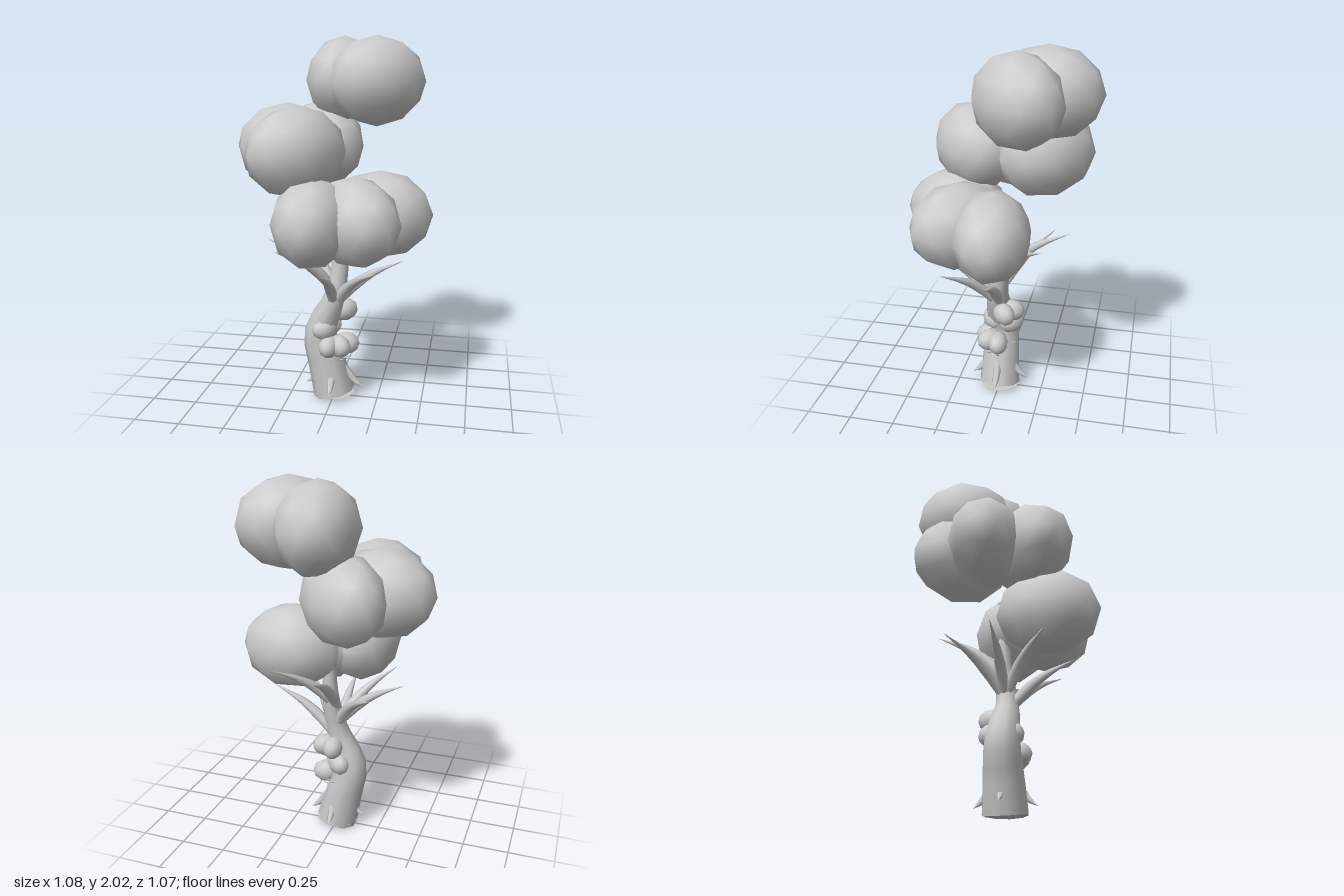
import * as THREE from 'three';

const material = new THREE.MeshStandardMaterial({ color: 0xcccccc, side: THREE.DoubleSide });
const V = (x, y, z) => new THREE.Vector3(x, y, z);

function add(parent, geometry, name) {
  const mesh = new THREE.Mesh(geometry, material);
  mesh.name = name;
  parent.add(mesh);
  return mesh;
}

// Tube along a smooth path whose radius is interpolated from a short list
function taperedTube(points, radii, steps, sides) {
  const curve = new THREE.CatmullRomCurve3(points);
  const geometry = new THREE.TubeGeometry(curve, steps, 1, sides);
  const pos = geometry.attributes.position;
  const v = V(0, 0, 0);
  for (let i = 0; i <= steps; i++) {
    const center = curve.getPointAt(i / steps);
    const t = (i / steps) * (radii.length - 1);
    const k = Math.min(Math.floor(t), radii.length - 2);
    const radius = THREE.MathUtils.lerp(radii[k], radii[k + 1], t - k);
    for (let j = 0; j <= sides; j++) {
      const n = i * (sides + 1) + j;
      v.fromBufferAttribute(pos, n).sub(center).multiplyScalar(radius).add(center);
      pos.setXYZ(n, v.x, v.y, v.z);
    }
  }
  return geometry;
}

// Foliage blobs climb in a spiral: x, height, z, heading in degrees from +x to +z
const blobs = [
  [0.25, 1.06, -0.01, -8], [0.145, 1.06, 0.19, 45], [-0.07, 1.06, 0.25, 90],
  [-0.17, 1.41, 0.17, 135], [-0.26, 1.41, -0.04, 180], [-0.11, 1.41, -0.23, 228],
  [0.01, 1.76, -0.25, 268], [0.21, 1.76, -0.13, 318],
];

function buildTree() {
  const tree = new THREE.Group();

  // Bent trunk with a closed underside
  add(tree, taperedTube(
    [V(0, 0.01, 0), V(-0.04, 0.18, 0), V(-0.08, 0.36, 0), V(0.0, 0.57, 0.01), V(0.035, 0.8, -0.015), V(0.04, 1.2, -0.02)],
    [0.118, 0.105, 0.09, 0.06, 0.045, 0.035, 0.03], 16, 10), 'trunk');
  const underside = add(tree, new THREE.CircleGeometry(0.118, 10), 'trunkUnderside');
  underside.rotation.x = Math.PI / 2;
  underside.position.y = 0.01;

  // Foliage: stretched low-poly balls with the long axis pointing outward
  blobs.forEach(([x, y, z, deg]) => {
    const ball = new THREE.IcosahedronGeometry(1, 1);
    ball.rotateZ(-Math.atan(2 / (1 + Math.sqrt(5))));
    ball.scale(0.21, 0.24, 0.285);
    const blob = add(tree, ball, 'foliage');
    blob.rotation.y = Math.PI / 2 - THREE.MathUtils.degToRad(deg);
    blob.position.set(x, y, z);
  });

  // Curved branches, one below each foliage blob
  for (let i = 0; i < 8; i++) {
    const tip = i < 3 ? 0.81 : i < 6 ? 0.9 : 1.0;
    const branch = add(tree, taperedTube(
      [V(0, tip - 0.29, 0), V(0.08, tip - 0.19, 0), V(0.2, tip - 0.09, 0), V(0.385, tip, 0)],
      [0.02, 0.03, 0.03, 0.022, 0.01, 0], 10, 7), 'branch');
    branch.rotation.y = -i * Math.PI / 4;
  }

  // Short roots that curl down around the foot
  for (let i = 0; i < 4; i++) {
    const root = add(tree, taperedTube(
      [V(0.04, 0.19, 0), V(0.085, 0.125, 0), V(0.12, 0.08, 0), V(0.165, 0.045, 0)],
      [0.014, 0.02, 0.022, 0.016, 0], 8, 6), 'root');
    root.rotation.y = -i * Math.PI / 2;
  }
  return tree;
}

export function createModel() {
  const model = new THREE.Group();
  const tree = buildTree();
  tree.name = 'tree';
  model.add(tree);

  // Miniature sapling growing through the foot of the trunk
  const sapling = buildTree();
  sapling.name = 'sapling';
  sapling.scale.setScalar(0.27);
  sapling.position.y = 0.02;
  model.add(sapling);
  return model;
}
